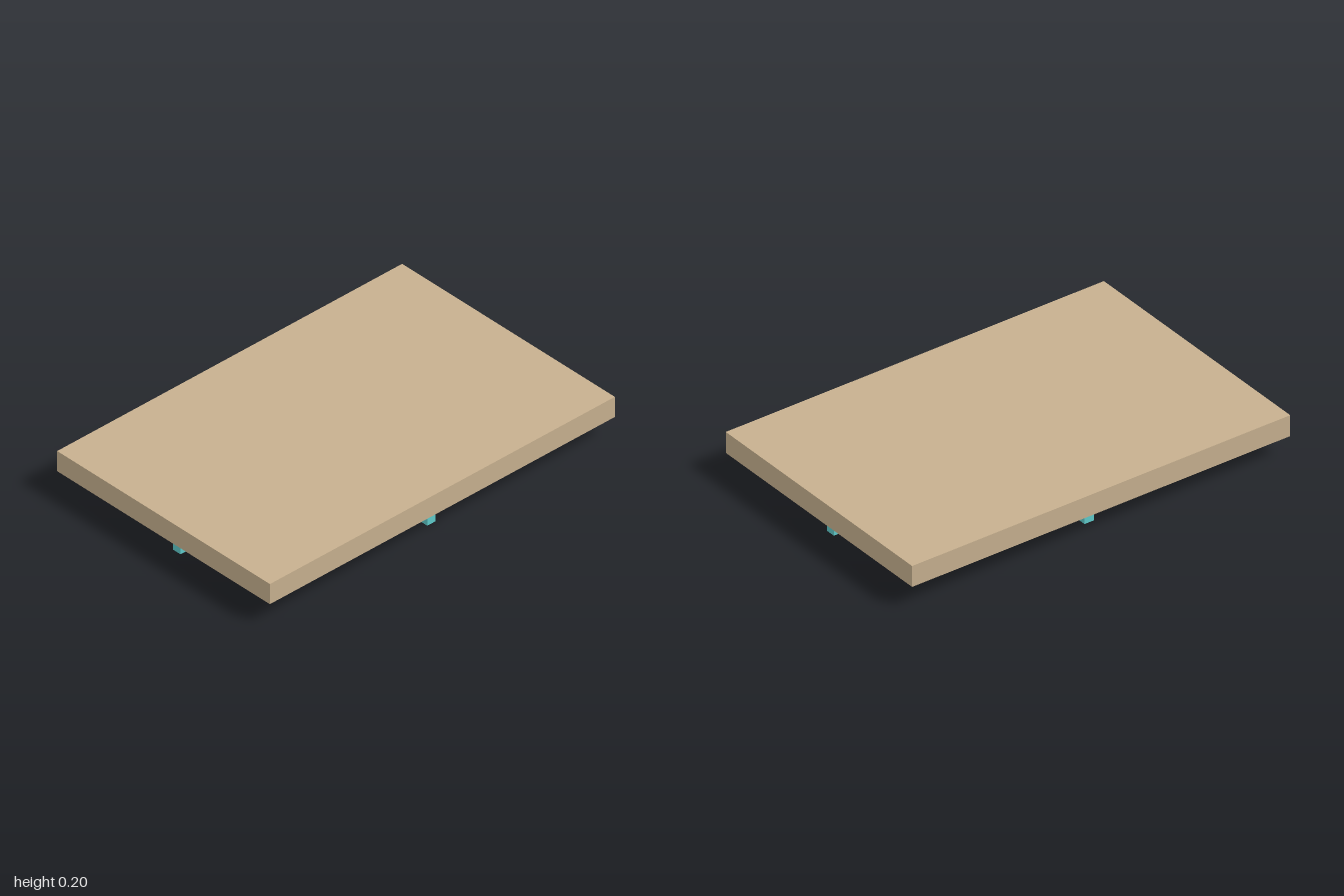
import * as THREE from 'three';

const tan = new THREE.MeshStandardMaterial({ name: 'tan', color: 0xc7b08f });
const paleTeal = new THREE.MeshStandardMaterial({ name: 'pale teal', color: 0x97c6c8 });
const turquoise = new THREE.MeshStandardMaterial({ name: 'turquoise', color: 0x5ecaca });

// Box given by its lower and upper corners
function block(name, material, [x0, y0, z0], [x1, y1, z1]) {
  const mesh = new THREE.Mesh(new THREE.BoxGeometry(x1 - x0, y1 - y0, z1 - z0), material);
  mesh.position.set((x0 + x1) / 2, (y0 + y1) / 2, (z0 + z1) / 2);
  mesh.name = name;
  return mesh;
}

export function createModel() {
  const model = new THREE.Group();
  model.name = 'platform';

  // Slab with a slightly smaller panel under it
  model.add(block('slab', tan, [-1, 0.1, -0.662], [1, 0.205, 0.662]));
  model.add(block('underPanel', paleTeal, [-0.927, 0.057, -0.564], [0.922, 0.1, 0.587]));

  // Crossed support beams, reaching just past the panel; the long one is split at the crossing
  const beams = new THREE.Group();
  beams.name = 'crossBeams';
  beams.add(block('beamFrontToBack', turquoise, [-0.027, 0, -0.573], [0.022, 0.1, 0.597]));
  beams.add(block('beamRight', turquoise, [-0.935, 0, -0.012], [-0.027, 0.1, 0.036]));
  beams.add(block('beamLeft', turquoise, [0.022, 0, -0.012], [0.93, 0.1, 0.036]));
  model.add(beams);

  return model;
}
